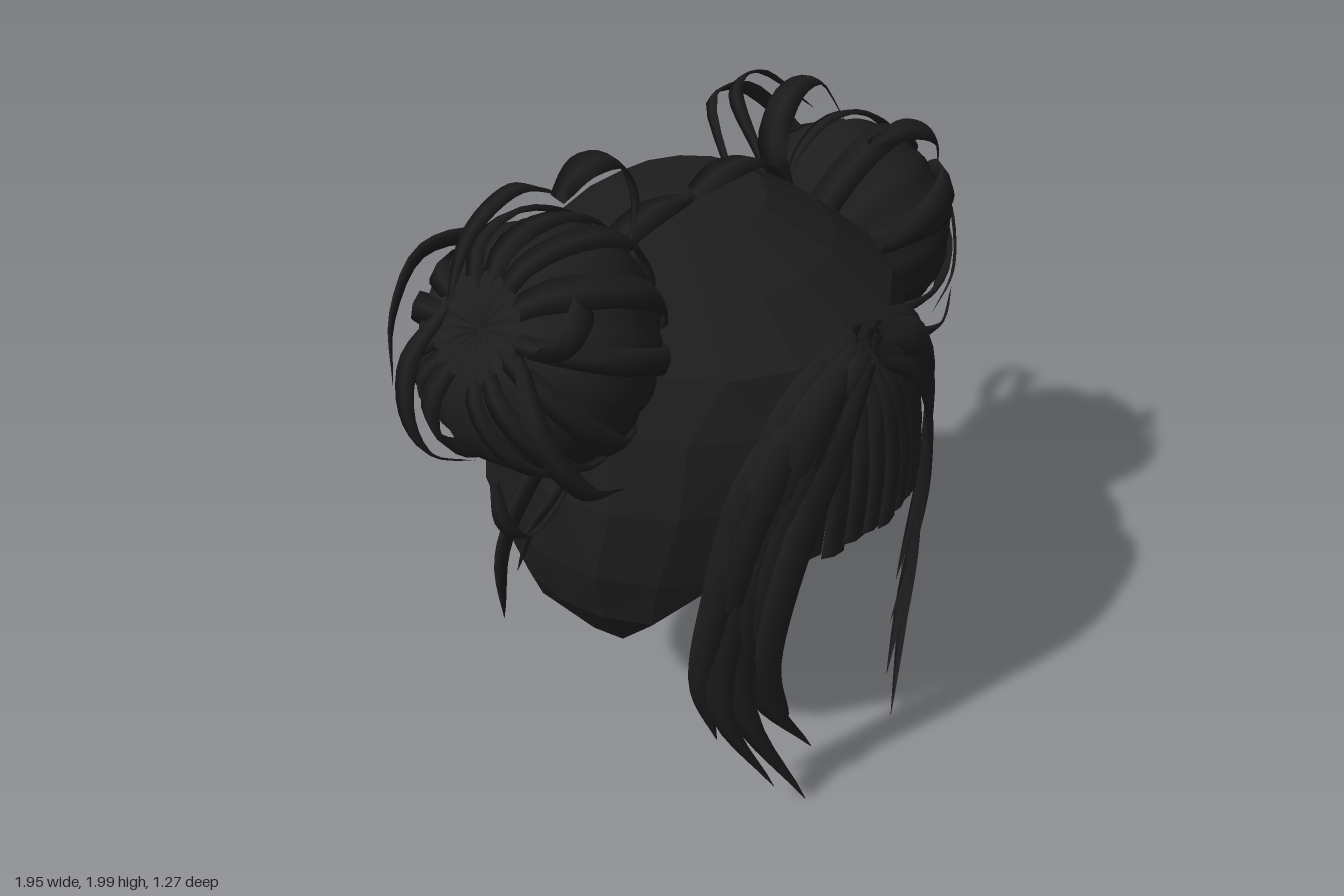
import * as THREE from 'three';

const hair = new THREE.MeshStandardMaterial({ color: 0x1d1d1d, side: THREE.DoubleSide });
hair.name = 'black hair';

const V = (x, y, z) => new THREE.Vector3(x, y, z);

let seed = 7;
const rand = () => (seed = (seed * 16807) % 2147483647) / 2147483647;

// Joins rows of equal length into a surface
function loft(name, rows, closed, flat) {
  const n = rows[0].length, index = [];
  for (let i = 0; i < rows.length - 1; i++) {
    for (let j = 0; j < (closed ? n : n - 1); j++) {
      const k = (j + 1) % n;
      const a = i * n + j, b = a + n, c = (i + 1) * n + k, d = i * n + k;
      index.push(a, b, c, a, c, d);
    }
  }
  let geo = new THREE.BufferGeometry().setFromPoints(rows.flat());
  geo.setIndex(index);
  if (flat) geo = geo.toNonIndexed();
  geo.computeVertexNormals();
  const mesh = new THREE.Mesh(geo, hair);
  mesh.name = name;
  return mesh;
}

// Flat lock of hair along a curve, its broad face turned away from centre
function lock(name, points, halfWidth, centre, { blunt = false, thick = 0.008, segs = 16 } = {}) {
  const curve = new THREE.CatmullRomCurve3(points.map(p => (p.isVector3 ? p : V(...p))));
  const rows = [];
  for (let i = 0; i <= segs; i++) {
    const t = i / segs, p = curve.getPoint(t), tangent = curve.getTangent(t);
    const out = p.clone().sub(centre);
    out.addScaledVector(tangent, -out.dot(tangent)).normalize();
    const side = tangent.clone().cross(out);
    const taper = blunt ? 0.6 + 0.4 * Math.min(1, t * 2) : Math.min(1, 0.45 + 2 * t) * (1 - t ** 4) + 0.02;
    const w = halfWidth * taper, h = thick * taper;
    rows.push([[w, 0], [0, h], [-w, 0], [0, -h]].map(([s, o]) =>
      p.clone().addScaledVector(side, s).addScaledVector(out, o)));
  }
  return loft(name, rows, true, false);
}

// Faceted shell of hair over the head, open at the face and neck
function headShell() {
  // height, half width, front z, back z, half angle of the face opening
  const profile = [
    [1.73, 0, -0.1, -0.1, 0], [1.71, 0.24, 0.12, -0.32, 0], [1.62, 0.38, 0.32, -0.44, 0],
    [1.5, 0.5, 0.49, -0.52, 0], [1.35, 0.58, 0.53, -0.6, 0.2], [1.15, 0.65, 0.54, -0.62, 0.6],
    [0.93, 0.66, 0.53, -0.64, 0.7], [0.76, 0.625, 0.5, -0.55, 1.05], [0.6, 0.53, 0.4, -0.45, 1.3]];
  const n = 16, last = profile.length - 1;
  const rows = profile.map(([y, w, zf, zb, open], r) => Array.from({ length: n + 1 }, (_, j) => {
    const a = open + (2 * Math.PI - 2 * open) * j / n, c = Math.cos(a), s = Math.sin(a);
    const mid = r < 3 ? (zf + zb) / 2 : 0;
    // The nape rises to a shallow peak in the middle
    const nape = r === last && c < 0;
    const reach = nape ? -(Math.abs(c) ** 0.5) : c;
    const z = mid + reach * (c > 0 ? zf - mid : mid - zb);
    return V(w * s, y + (nape ? 0.13 * (1 - Math.abs(s)) : 0), z);
  }));
  return loft('headHair', rows, false, true);
}

// Ribbed bun wrapped with loose locks
function bun(name, centre, axis) {
  const group = new THREE.Group();
  group.name = name;
  const R = 0.315, H = 0.27, ribs = 16;
  const at = (phi, theta, grow) => {
    const dimple = 1 - 0.14 * Math.exp(-12 * Math.sin(phi) ** 2);
    const s = Math.sin(phi) * R * grow;
    return V(s * Math.sin(theta), Math.cos(phi) * H * grow * dimple, s * Math.cos(theta));
  };
  const rows = [];
  for (let i = 0; i <= 16; i++) {
    rows.push(Array.from({ length: ribs * 4 }, (_, j) => {
      const th = j / (ribs * 4) * Math.PI * 2;
      return at(0.001 + i / 16 * 3.139, th + 0.25 * i / 16, 0.97 + 0.03 * Math.abs(Math.sin(th * ribs / 2)));
    }));
  }
  group.add(loft('bunBody', rows, true, false));
  for (let k = 0; k < 13; k++) {
    const th = k / 13 * Math.PI * 2 + rand() * 0.3, lean = (rand() - 0.5) * 0.9, puff = 1.02 + rand() * 0.06;
    const pts = [0.12, 0.6, 1.1, 1.6, 2.1, 2.55].map((p, i) =>
      at(p, th + lean * i / 5, i === 0 ? 0.95 : puff));
    group.add(lock('bunLock', pts, 0.03 + rand() * 0.02, V(0, 0, 0), { blunt: k % 2 === 0 }));
  }
  group.position.copy(centre);
  group.quaternion.setFromUnitVectors(V(0, 1, 0), axis.normalize());
  return group;
}

export function createModel() {
  const model = new THREE.Group();
  model.name = 'hair';
  const head = V(0, 1.05, -0.05);
  model.add(headShell());

  // Buns, the right one set higher
  const rightBun = V(-0.635, 1.605, -0.01), leftBun = V(0.66, 1.37, -0.02);
  model.add(bun('rightBun', rightBun, V(-0.8, 0.6, -0.03)));
  model.add(bun('leftBun', leftBun, V(1, 0.06, 0)));

  // Blunt fringe fanning from the parting
  for (let i = -5; i <= 5; i++) {
    const drop = 0.97 + 0.02 * ((i * i) % 3) - 0.005 * Math.abs(i), back = 0.0045 * i * i;
    model.add(lock('fringe', [
      [0.018 * i, 1.5, 0.49], [0.04 * i, 1.38, 0.58 - back * 0.6],
      [0.056 * i, 1.18, 0.62 - back], [0.062 * i, drop, 0.615 - back]], 0.038, head, { blunt: true }));
  }

  for (const s of [-1, 1]) {
    const m = pts => pts.map(([x, y, z]) => V(s * x, y, z));
    // Long face-framing locks: half width, then path
    const framing = [
      [0.065, [[0.02, 1.5, 0.51], [0.24, 1.4, 0.53], [0.395, 0.95, 0.48], [0.415, 0.5, 0.45], [0.22, 0.005, 0.55]]],
      [0.06, [[0.02, 1.49, 0.53], [0.22, 1.35, 0.55], [0.37, 0.9, 0.5], [0.35, 0.5, 0.48], [0.19, 0.2, 0.54]]],
      [0.05, [[0.05, 1.5, 0.51], [0.32, 1.34, 0.5], [0.435, 0.9, 0.45], [0.47, 0.5, 0.43], [0.31, 0.1, 0.5]]],
      [0.045, [[0.08, 1.5, 0.49], [0.38, 1.28, 0.46], [0.48, 0.9, 0.42], [0.51, 0.6, 0.39], [0.44, 0.33, 0.39]]],
      [0.05, [[0.02, 1.47, 0.54], [0.18, 1.34, 0.57], [0.34, 0.9, 0.53], [0.35, 0.6, 0.5], [0.25, 0.35, 0.5]]],
      [0.055, [[0.0, 1.51, 0.48], [0.24, 1.44, 0.49], [0.41, 1.15, 0.47], [0.46, 0.8, 0.43], [0.4, 0.42, 0.43]]]];
    for (const [w, path] of framing) model.add(lock('framingLock', m(path), w, head, { segs: 22 }));

    // Ridge of hair over the crown towards each bun
    model.add(lock('crownLock', m([[0, 1.725, -0.07], [0.16, 1.74, -0.07], [0.3, 1.7, -0.07], [0.44, 1.52, -0.06]]), 0.06, head));
  }

  // Loose loops and wisps around each bun: half width, path
  const rightLoose = [
    [0.045, [[-0.5, 1.93, -0.06], [-0.42, 1.985, -0.05], [-0.31, 1.96, -0.04], [-0.27, 1.84, -0.02], [-0.36, 1.66, 0]]],
    [0.025, [[-0.48, 1.93, -0.1], [-0.6, 1.985, -0.1], [-0.75, 1.93, -0.1], [-0.86, 1.78, -0.08]]],
    [0.03, [[-0.82, 1.76, -0.12], [-0.94, 1.67, -0.13], [-0.97, 1.52, -0.13], [-0.92, 1.38, -0.12], [-0.8, 1.3, -0.1]]],
    [0.025, [[-0.9, 1.38, 0.08], [-0.9, 1.27, 0.1], [-0.83, 1.18, 0.1], [-0.7, 1.19, 0.08], [-0.56, 1.29, 0.05]]],
    [0.035, [[-0.62, 1.83, 0.14], [-0.72, 1.82, 0.22], [-0.8, 1.79, 0.24], [-0.9, 1.82, 0.24]]],
    [0.03, [[-0.42, 1.6, -0.25], [-0.46, 1.68, -0.4], [-0.6, 1.68, -0.46], [-0.76, 1.58, -0.41], [-0.87, 1.48, -0.3]]],
    [0.03, [[-0.85, 1.75, 0.15], [-0.9, 1.6, 0.25], [-0.82, 1.42, 0.31], [-0.66, 1.32, 0.28]]]];
  const leftLoose = [
    [0.045, [[0.4, 1.56, -0.05], [0.36, 1.72, -0.08], [0.47, 1.83, -0.11], [0.62, 1.81, -0.12], [0.72, 1.64, -0.08]]],
    [0.03, [[0.45, 1.5, -0.3], [0.54, 1.68, -0.45], [0.7, 1.66, -0.46], [0.84, 1.52, -0.4], [0.9, 1.4, -0.28]]],
    [0.025, [[0.46, 1.6, -0.2], [0.54, 1.74, -0.36], [0.68, 1.74, -0.38], [0.82, 1.6, -0.28]]],
    [0.03, [[0.96, 1.38, -0.13], [0.97, 1.25, -0.13], [0.93, 1.12, -0.12], [0.84, 1.03, -0.1], [0.68, 1.02, -0.06]]],
    [0.035, [[0.6, 1.68, 0.08], [0.74, 1.69, 0.12], [0.85, 1.62, 0.14], [0.88, 1.5, 0.14]]],
    [0.03, [[0.89, 1.5, 0.12], [0.93, 1.36, 0.17], [0.87, 1.2, 0.23], [0.74, 1.12, 0.25]]],
    [0.03, [[0.5, 1.2, 0.25], [0.58, 1.15, 0.3], [0.7, 1.13, 0.31], [0.82, 1.18, 0.26]]]];
  const behind = V(0, 0, -0.15);
  for (const [w, p] of rightLoose) model.add(lock('rightBunWisp', p, w, rightBun.clone().add(behind), { thick: 0.005 }));
  for (const [w, p] of leftLoose) model.add(lock('leftBunWisp', p, w, leftBun.clone().add(behind), { thick: 0.005 }));

  // Wisps hanging below the buns, broad face to the front
  const hanging = [
    [0.03, [[-0.6, 1.3, 0], [-0.7, 1.2, -0.02], [-0.79, 1.03, -0.04], [-0.79, 0.78, -0.06]]],
    [0.02, [[-0.58, 1.28, 0.03], [-0.66, 1.18, 0.04], [-0.74, 1.12, 0.03], [-0.8, 1.0, 0.02]]],
    [0.03, [[0.58, 1.1, -0.05], [0.64, 0.98, -0.06], [0.72, 0.89, -0.07], [0.84, 0.885, -0.09]]],
    [0.03, [[0.57, 1.08, -0.08], [0.6, 0.9, -0.11], [0.65, 0.74, -0.12], [0.76, 0.68, -0.06]]]];
  for (const [w, p] of hanging) model.add(lock('hangingWisp', p, w, V(0, 1, -4), { thick: 0.006 }));

  return model;
}
